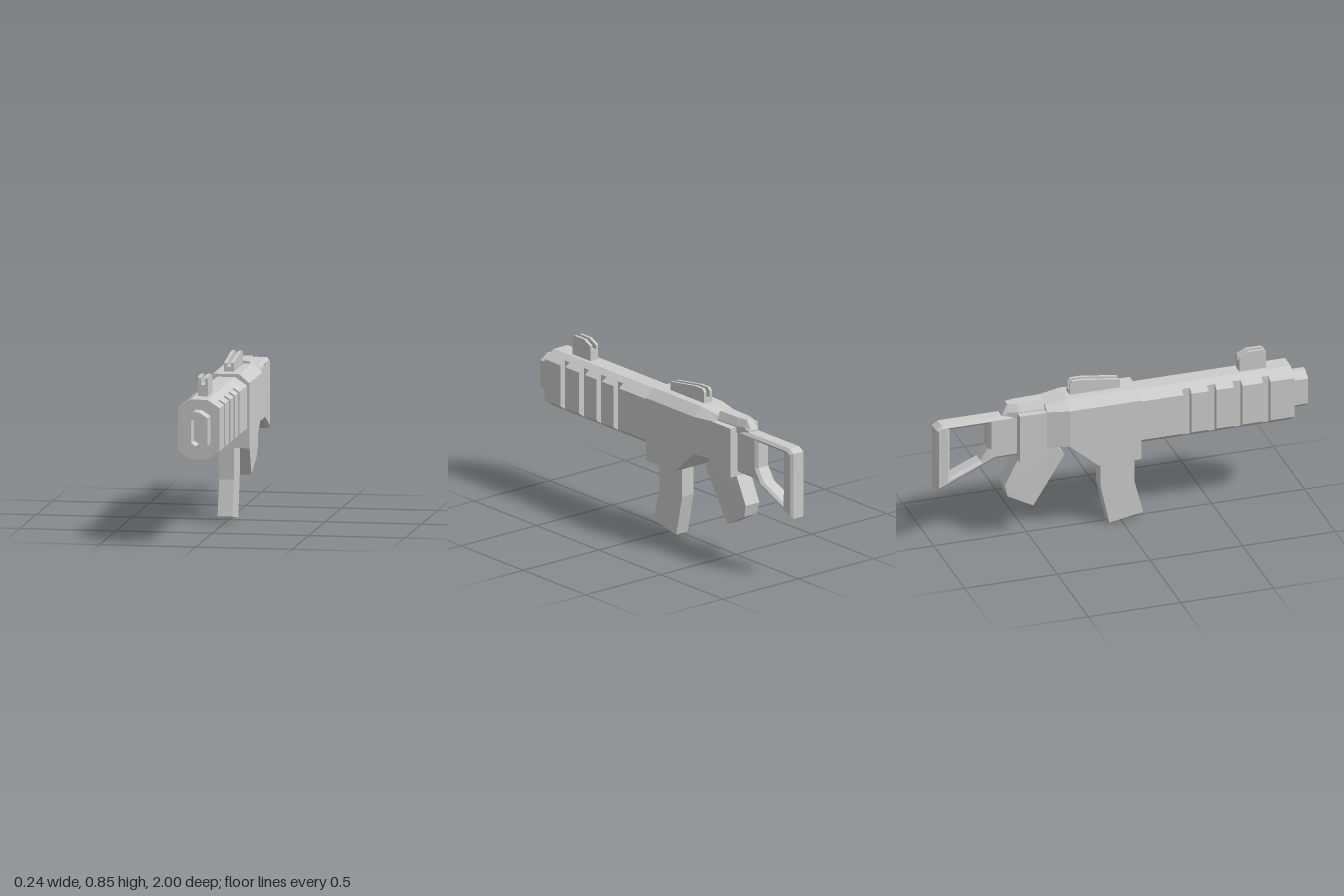
import * as THREE from 'three';

const material = new THREE.MeshStandardMaterial({ color: 0xcccccc, flatShading: true });

function add(parent, name, geometry) {
  const mesh = new THREE.Mesh(geometry, material);
  mesh.name = name;
  parent.add(mesh);
  return mesh;
}

// Shape from a list of corners
function outline(points) {
  return new THREE.Shape(points.map(([a, b]) => new THREE.Vector2(a, b)));
}

// Side profile given as [z, y], extruded across x between x0 and x1
function plate(points, x0, x1, hole, bevel = 0) {
  const shape = outline(points);
  if (hole) shape.holes.push(outline(hole));
  const geometry = new THREE.ExtrudeGeometry(shape, {
    depth: x1 - x0 - 2 * bevel, bevelEnabled: bevel > 0, bevelSegments: 1,
    bevelSize: bevel, bevelThickness: bevel, bevelOffset: -bevel,
  });
  return geometry.rotateY(-Math.PI / 2).translate(x1 - bevel, 0, 0);
}

// Mirror the right half of a section (listed bottom to top) into a closed loop
const mirrored = half => [...half, ...half.map(([x, y]) => [-x, y]).reverse()];

// Skin over cross-sections [z, loop], listed from front to back
function loft(sections) {
  const pos = [];
  const push = (...pts) => pts.forEach(p => pos.push(...p));
  const rings = sections.map(([z, loop]) => loop.map(([x, y]) => [x, y, z]));
  const n = rings[0].length;
  for (let i = 0; i < rings.length - 1; i++) {
    for (let j = 0; j < n; j++) {
      const k = (j + 1) % n, [f, b] = [rings[i], rings[i + 1]];
      push(f[j], b[j], b[k], f[j], b[k], f[k]);
    }
  }
  const first = rings[0], last = rings[rings.length - 1];
  for (let j = 1; j < n - 1; j++) {
    push(first[0], first[j], first[j + 1]);
    push(last[0], last[j + 1], last[j]);
  }
  const geometry = new THREE.BufferGeometry();
  geometry.setAttribute('position', new THREE.Float32BufferAttribute(pos, 3));
  geometry.computeVertexNormals();
  return geometry;
}

// Sight: two side plates with a lower floor between them
function sight(name, profile, floor, z0, z1, base) {
  const group = new THREE.Group();
  group.name = name;
  add(group, 'sightLeftPlate', plate(profile, 0.01, 0.026));
  add(group, 'sightRightPlate', plate(profile, -0.026, -0.01));
  add(group, 'sightFloor', plate([[z0, base], [z1, base], [z1, floor], [z0, floor]], -0.01, 0.01));
  return group;
}

export function createModel() {
  const model = new THREE.Group();
  model.name = 'blaster';

  // Fore-end with four cross grooves
  const full = mirrored([[0.045, 0.443], [0.108, 0.488], [0.108, 0.71], [0.045, 0.752]]);
  const groove = mirrored([[0.045, 0.443], [0.078, 0.467], [0.078, 0.73], [0.045, 0.752]]);
  const stations = [[0.91, full]];
  for (const [front, back] of [[0.78, 0.742], [0.63, 0.585], [0.49, 0.448], [0.355, 0.312]]) {
    stations.push([front, full], [front, groove], [back, groove], [back, full]);
  }
  stations.push([0.06, full]);
  add(model, 'foreEnd', loft(stations));

  // Muzzle with a recessed slot
  const muzzle = outline(mirrored([[0.015, 0.495], [0.06, 0.527], [0.06, 0.67], [0.015, 0.7]]));
  muzzle.holes.push(outline([[0, 0.523], [0.024, 0.54], [0.024, 0.652], [0, 0.67], [-0.024, 0.652], [-0.024, 0.54]]));
  add(model, 'muzzle', new THREE.ExtrudeGeometry(muzzle, { depth: 0.09, bevelEnabled: false }).translate(0, 0, 0.91));

  // Receiver body, narrowing toward the rear
  const body = (w, bottom, t, top) => mirrored([[w, bottom], [w, 0.722], [t, top]]);
  add(model, 'receiver', loft([
    [0.08, body(0.12, 0.385, 0.068, 0.767)],
    [-0.15, body(0.12, 0.385, 0.068, 0.767)],
    [-0.305, body(0.12, 0.52, 0.068, 0.767)],
    [-0.42, body(0.092, 0.518, 0.058, 0.75)],
  ]));
  add(model, 'rearBlock', new THREE.BoxGeometry(0.184, 0.265, 0.15).translate(0, 0.5875, -0.49));

  // Raised cap on the rear top
  const cap = (w, t, top) => mirrored([[w, 0.69], [w, Math.min(0.725, top - 0.005)], [t, top]]);
  add(model, 'rearCap', loft([
    [-0.415, cap(0.058, 0.035, 0.765)],
    [-0.56, cap(0.052, 0.03, 0.765)],
    [-0.61, cap(0.035, 0.02, 0.765)],
    [-0.642, cap(0.03, 0.018, 0.715)],
  ]));

  // Open stock
  add(model, 'stock', plate(
    [[-0.55, 0.706], [-0.97, 0.706], [-1, 0.685], [-1, 0.334], [-0.97, 0.342], [-0.68, 0.472], [-0.55, 0.472]],
    -0.045, 0.045,
    [[-0.718, 0.676], [-0.926, 0.676], [-0.926, 0.4], [-0.76, 0.472], [-0.718, 0.535]], 0.014));

  // Curved magazine
  add(model, 'magazine', plate(
    [[0.07, 0.4], [0.07, 0.22], [0.118, 0.035], [-0.065, 0.003], [-0.113, 0.22], [-0.113, 0.4]],
    -0.038, 0.038));

  // Grip, slimmer toward its foot
  const grip = plate(
    [[-0.36, 0.53], [-0.36, 0.505], [-0.31, 0.44], [-0.475, 0.168], [-0.615, 0.245], [-0.632, 0.31], [-0.555, 0.465], [-0.52, 0.53]],
    -0.047, 0.047);
  const p = grip.attributes.position;
  for (let i = 0; i < p.count; i++) {
    const s = THREE.MathUtils.clamp((p.getY(i) - 0.17) / 0.17, 0, 1);
    p.setX(i, p.getX(i) * THREE.MathUtils.lerp(0.78, 1, s));
  }
  grip.computeVertexNormals();
  add(model, 'grip', grip);

  // Sights
  model.add(sight('frontSight',
    [[0.785, 0.74], [0.785, 0.845], [0.77, 0.856], [0.69, 0.856], [0.64, 0.832], [0.64, 0.74]],
    0.81, 0.785, 0.64, 0.74));
  model.add(sight('rearSight',
    [[-0.005, 0.755], [-0.005, 0.812], [-0.2, 0.841], [-0.26, 0.841], [-0.275, 0.825], [-0.275, 0.755]],
    0.79, -0.005, -0.275, 0.755));

  return model;
}
